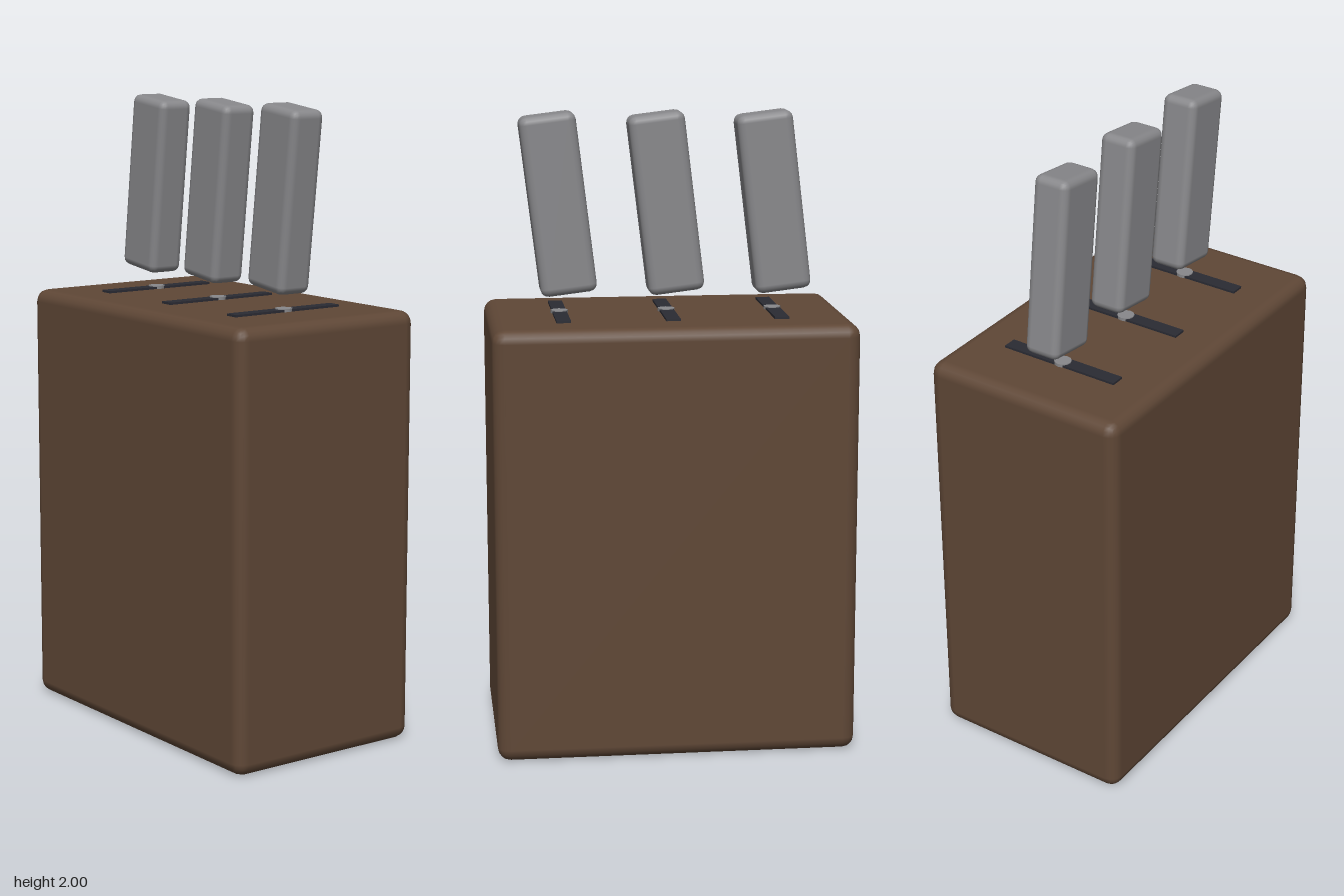
import * as THREE from 'three';
import { RoundedBoxGeometry } from 'three/addons/geometries/RoundedBoxGeometry.js';

export function createModel() {
  const material = (name, color) => {
    const m = new THREE.MeshStandardMaterial({ color });
    m.name = name;
    return m;
  };
  const wood = material('dark wood', 0x5f4736);
  const slotBlack = material('slot black', 0x2a2b33);
  const handleGrey = material('handle grey', 0x88888b);

  const model = new THREE.Group();
  model.name = 'knifeBlock';

  const add = (parent, name, geometry, mat, x, y, z) => {
    const mesh = new THREE.Mesh(geometry, mat);
    mesh.name = name;
    mesh.position.set(x, y, z);
    parent.add(mesh);
    return mesh;
  };

  // Wooden body with softened edges
  add(model, 'block', new RoundedBoxGeometry(0.68, 1.37, 1.134, 2, 0.04), wood, 0, 0.685, 0);

  // Three knives in a row, each with a slot, a neck stub and a leaning handle
  const slotGeometry = new THREE.BoxGeometry(0.4, 0.02, 0.045);
  const stubGeometry = new THREE.CylinderGeometry(0.027, 0.027, 0.03, 12);
  const handleGeometry = new RoundedBoxGeometry(0.12, 0.565, 0.178, 2, 0.025);
  for (const z of [0.34, 0, -0.34]) {
    const knife = new THREE.Group();
    knife.name = 'knife';
    knife.position.z = z;
    add(knife, 'slot', slotGeometry, slotBlack, 0, 1.367, 0);
    add(knife, 'neck', stubGeometry, handleGrey, 0, 1.365, 0);
    add(knife, 'handle', handleGeometry, handleGrey, 0, 1.715, 0.003).rotation.x = 0.12;
    model.add(knife);
  }
  return model;
}
